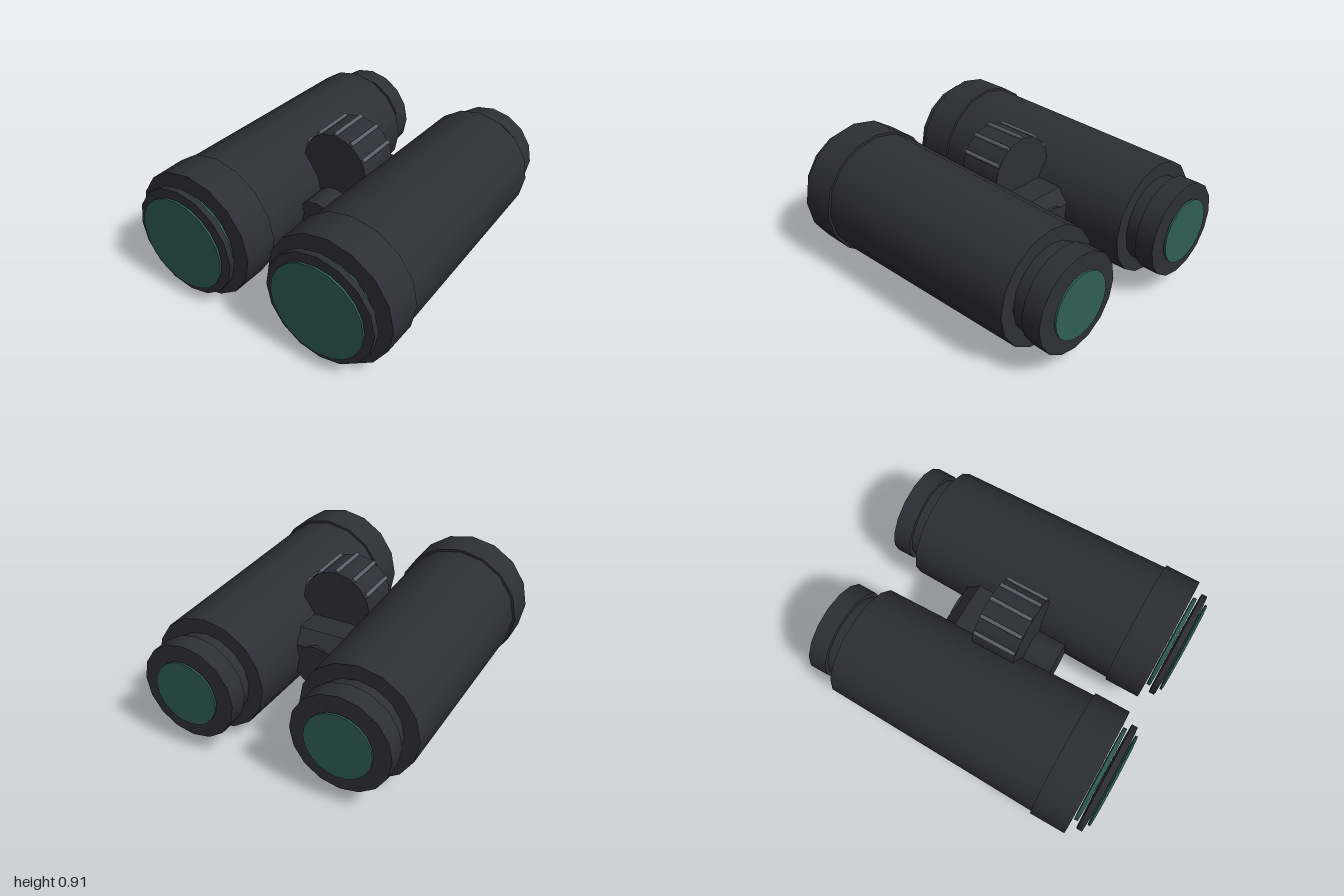
import * as THREE from 'three';

const body = new THREE.MeshStandardMaterial({ name: 'dark rubber', color: 0x2e2e37 });
const glass = new THREE.MeshStandardMaterial({ name: 'teal glass', color: 0x2f5d57 });
const grip = new THREE.MeshStandardMaterial({ name: 'grey grip', color: 0x5a5f69 });

// Cylinder lying along z, from z0 (radius r0) to z1 (radius r1)
function tube(name, material, z0, z1, r0, r1 = r0, sides = 16) {
  const geometry = new THREE.CylinderGeometry(r1, r0, z1 - z0, sides);
  geometry.rotateX(Math.PI / 2);
  geometry.translate(0, 0, (z0 + z1) / 2);
  const mesh = new THREE.Mesh(geometry, material);
  mesh.name = name;
  return mesh;
}

// One optical barrel, eyepiece at the back and objective at the front
function makeBarrel(name) {
  const barrel = new THREE.Group();
  barrel.name = name;
  barrel.add(
    tube('eyeLens', glass, -1, -0.988, 0.204, 0.204, 20),
    tube('eyecup', body, -0.975, -0.855, 0.302),
    tube('eyepieceNeck', body, -0.86, -0.765, 0.274),
    tube('barrelBody', body, -0.77, 0.67, 0.364, 0.396),
    tube('objectiveCollar', body, 0.66, 0.89, 0.411),
    tube('innerLens', glass, 0.901, 0.924, 0.312, 0.312, 20),
    tube('objectiveRim', body, 0.937, 0.974, 0.352),
    tube('objectiveLens', glass, 0.987, 1, 0.302, 0.302, 20)
  );
  return barrel;
}

export function createModel() {
  const model = new THREE.Group();
  model.name = 'binoculars';

  for (const side of [1, -1]) {
    const barrel = makeBarrel(side > 0 ? 'leftBarrel' : 'rightBarrel');
    barrel.position.set(side * 0.484, 0.412, 0);
    model.add(barrel);
  }

  // Hinge rod between the barrels
  const hinge = tube('hingeRod', body, -0.38, 0.35, 0.143);
  hinge.position.y = 0.376;
  model.add(hinge);

  // Bridge block with a sloped back, profile in (-z, y) extruded across x
  const profile = new THREE.Shape([
    [-0.1, 0.3], [0.378, 0.3], [0.378, 0.5], [0.295, 0.575], [-0.1, 0.575],
  ].map(([a, b]) => new THREE.Vector2(a, b)));
  const bridgeGeometry = new THREE.ExtrudeGeometry(profile, { depth: 0.4, bevelEnabled: false });
  bridgeGeometry.translate(0, 0, -0.2);
  bridgeGeometry.rotateY(Math.PI / 2);
  const bridge = new THREE.Mesh(bridgeGeometry, body);
  bridge.name = 'bridge';
  model.add(bridge);

  // Focus wheel with raised grip ribs
  const focus = new THREE.Group();
  focus.name = 'focusWheel';
  focus.position.y = 0.67;
  focus.add(tube('wheel', body, -0.125, 0.16, 0.226));
  for (let i = 0; i < 12; i++) {
    const angle = i * Math.PI / 6;
    const rib = tube('gripRib', grip, -0.12, 0.155, 0.013, 0.013, 8);
    rib.position.set(Math.sin(angle) * 0.228, Math.cos(angle) * 0.228, 0);
    focus.add(rib);
  }
  model.add(focus);

  return model;
}
